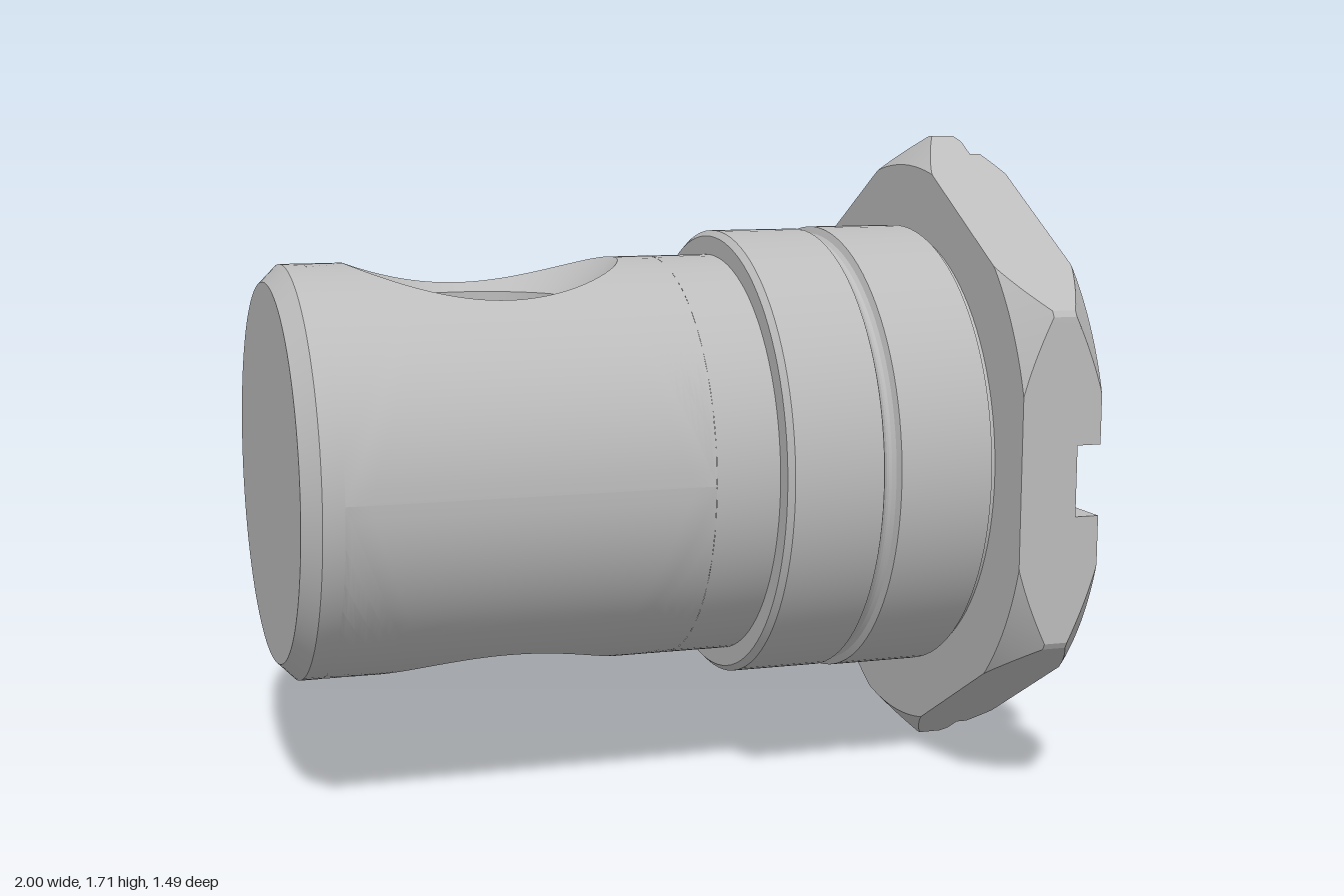
import * as THREE from 'three';
import { toCreasedNormals } from 'three/addons/utils/BufferGeometryUtils.js';

const steel = new THREE.MeshStandardMaterial({ color: 0xbcbcbc, side: THREE.DoubleSide });
steel.name = 'steel grey';

const AXIS_Y = 0.855;     // height of the long axis
const RAD = Math.PI / 180;

// Surface through columns of points; optional fans close the first and last column
function skin(columns, capEnds = false) {
  const out = [];
  const tri = (a, b, c) => out.push(...a, ...b, ...c);
  for (let i = 0; i < columns.length - 1; i++) {
    const p = columns[i], q = columns[i + 1];
    for (let j = 0; j < p.length - 1; j++) {
      tri(p[j], q[j], q[j + 1]);
      tri(p[j], q[j + 1], p[j + 1]);
    }
  }
  if (capEnds) {
    const a = columns[0], b = columns[columns.length - 1];
    for (let j = 1; j < a.length - 1; j++) {
      tri(a[0], a[j], a[j + 1]);
      tri(b[0], b[j + 1], b[j]);
    }
  }
  const geo = new THREE.BufferGeometry();
  geo.setAttribute('position', new THREE.Float32BufferAttribute(out, 3));
  return toCreasedNormals(geo, 0.35);
}

// Turned part: profile of [radius, x]
function turned(profile) {
  const geo = new THREE.LatheGeometry(profile.map(([r, x]) => new THREE.Vector2(r, x)), 96);
  geo.rotateZ(-Math.PI / 2);
  return toCreasedNormals(geo, 0.35);
}

const range = (n, f) => Array.from({ length: n + 1 }, (_, i) => f(i, i / n));
const polar = (r, x, a) => [x, r * Math.cos(a), r * Math.sin(a)];

export function createModel() {
  const model = new THREE.Group();
  model.name = 'hollowBolt';
  const body = new THREE.Group();
  body.name = 'body';
  body.position.y = AXIS_Y;
  model.add(body);
  const add = (name, geo) => {
    const mesh = new THREE.Mesh(geo, steel);
    mesh.name = name;
    body.add(mesh);
    return mesh;
  };

  // Shaft end, and collar with its round groove
  const R = 0.54, holeX = -0.43, half = 0.47;
  add('shaftEnd', turned([[0, -1], [0.495, -1], [R, -0.955], [R, holeX - half]]));
  add('collar', turned([
    [R, holeX + half], [R, 0.21], [0.59, 0.21], [0.605, 0.225], [0.605, 0.467],
    [0.592, 0.474], [0.584, 0.483], [0.582, 0.49], [0.584, 0.497], [0.592, 0.506],
    [0.61, 0.513], [0.61, 0.765], [0.597, 0.768], [0.597, 0.785],
  ]));

  // Pierced shaft section with a 45 degree countersink at top and bottom
  const holeR = 0.26, sinkY = 0.434, k = sinkY - holeR;
  const rim = (t) => {
    const s = Math.sin(t), a = 1 + s * s;
    const r = (-k + Math.sqrt(k * k - a * (k * k - R * R))) / a;
    return [holeX + r * Math.cos(t), r + k, r * s];
  };
  const shell = skin(range(96, (i, u) => {
    const t = u * 2 * Math.PI, c = Math.cos(t), s = Math.sin(t);
    const m = Math.max(Math.abs(c), Math.abs(s));
    const e = rim(t), phi = Math.asin(e[2] / R);
    return range(16, (j, v) => polar(
      R,
      THREE.MathUtils.lerp(e[0], holeX + half * c / m, v),
      THREE.MathUtils.lerp(phi, (s / m) * Math.PI / 2, v),
    ));
  }));
  const sink = skin(range(96, (i, u) => {
    const t = u * 2 * Math.PI;
    return [[holeX + holeR * Math.cos(t), sinkY, holeR * Math.sin(t)], rim(t)];
  }));
  for (const [side, turn] of [['upper', 0], ['lower', Math.PI]]) {
    add(side + 'Shaft', shell).rotation.x = turn;
    add(side + 'Countersink', sink).rotation.x = turn;
  }
  add('crossHole', skin(range(96, (i, u) => {
    const t = u * 2 * Math.PI, x = holeX + holeR * Math.cos(t), z = holeR * Math.sin(t);
    return [[x, -sinkY, z], [x, sinkY, z]];
  })));

  // Hexagonal head: corner up, corners trimmed, both faces chamfered by cones
  const back = 0.78, front = 1, floor = 0.935, faceR = 0.777;
  const floorR = faceR + front - floor;
  const hexR = (a) => {
    const d = ((a / RAD) % 60 + 60) % 60 - 30;
    return Math.min(0.745 / Math.cos(d * RAD), 0.855);
  };
  const bevel = (a) => Math.max(0, hexR(a) - faceR);
  add('headPlate', skin(range(600, (i, u) => {
    const a = u * 2 * Math.PI, H = hexR(a);
    return [
      [0.55, back], [Math.min(H, faceR), back], [H, back + bevel(a)],
      [H, Math.min(front - bevel(a), floor)], [Math.min(H, floorR), floor], [0.365, floor],
    ].map(([r, x]) => polar(r, x, a));
  })));

  // Raised rim quarters, separated by four parallel-sided slots
  const slot = 0.092;
  const rows = [
    (a) => [Math.min(hexR(a), floorR), floor],
    (a) => [hexR(a) > floorR ? floorR : hexR(a), Math.max(front - bevel(a), floor)],
    (a) => [Math.min(hexR(a), faceR), front],
    () => [0.6, front],
    () => [0.6, floor],
  ];
  for (let q = 0; q < 4; q++) {
    const start = q * Math.PI / 2, end = start + Math.PI / 2;
    // angles at which each row meets the slot walls
    const limits = rows.map((row) => {
      let lo = 0.1, hi = 0.1;
      for (let n = 0; n < 12; n++) {
        lo = Math.asin(slot / row(start + lo)[0]);
        hi = Math.asin(slot / row(end - hi)[0]);
      }
      return [start + lo, end - hi];
    });
    add('rimQuarter' + (q + 1), skin(range(150, (i, u) => rows.map((row, j) => {
      const a = THREE.MathUtils.clamp(start + u * Math.PI / 2, ...limits[j]);
      return polar(...row(a), a);
    })), true));
  }

  // Blind bore with a shallow counterbore and a drilled cone end
  add('bore', turned([
    [0.365, floor], [0.365, 0.905], [0.352, 0.905], [0.345, 0.885], [0.345, 0.15], [0, -0.06],
  ]));

  return model;
}
